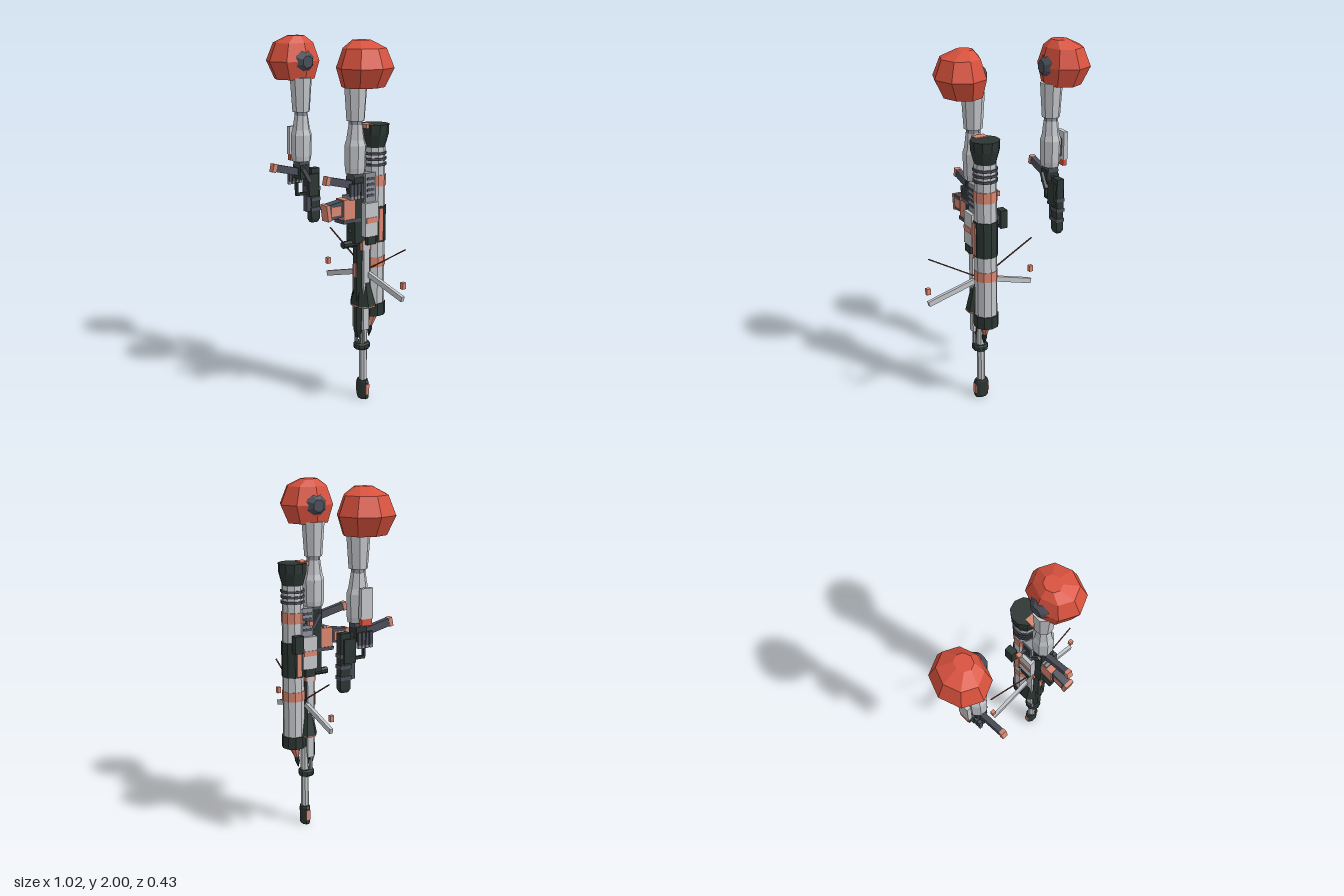
import * as THREE from 'three';

const mat = (name, color) => {
  const m = new THREE.MeshStandardMaterial({ color });
  m.name = name;
  return m;
};

export function createModel() {
  const red = mat('red armour', 0xd9523e), salmon = mat('salmon trim', 0xd98670);
  const grey = mat('light grey', 0xc3c6ca), mid = mat('mid grey', 0x8d9198);
  const slate = mat('slate joints', 0x4b4e58), dark = mat('dark gunmetal', 0x2b3633);
  const brown = mat('bow string brown', 0x6e3a30);
  const root = new THREE.Group();
  root.name = 'armedArms';

  const group = (name, parent = root) => {
    const g = new THREE.Group();
    g.name = name;
    parent.add(g);
    return g;
  };
  // every facet keeps its own normal
  const add = (parent, name, geo, material) => {
    const g = geo.index ? geo.toNonIndexed() : geo;
    g.computeVertexNormals();
    const m = new THREE.Mesh(g, material);
    m.name = name;
    parent.add(m);
    return m;
  };
  // box from its limits in x, y and z
  const box = (p, name, m, x0, x1, y0, y1, z0, z1) => add(p, name,
    new THREE.BoxGeometry(Math.abs(x1 - x0), y1 - y0, z1 - z0).translate((x0 + x1) / 2, (y0 + y1) / 2, (z0 + z1) / 2), m);
  // capped loft through rings [y, centreX, centreZ, radiusX, radiusZ], lowest first
  const loft = (p, name, m, rings, n = 8, phase = Math.PI / n) => {
    const v = [];
    const pt = (r, j) => {
      const a = phase + j / n * Math.PI * 2;
      return [r[1] + Math.cos(a) * r[3], r[0], r[2] + Math.sin(a) * r[4]];
    };
    const top = rings[rings.length - 1], low = rings[0];
    for (let j = 0; j < n; j++) {
      for (let i = 0; i + 1 < rings.length; i++) {
        const a = pt(rings[i], j), b = pt(rings[i], j + 1), c = pt(rings[i + 1], j), d = pt(rings[i + 1], j + 1);
        v.push(...a, ...c, ...b, ...b, ...c, ...d);
      }
      v.push(top[1], top[0], top[2], ...pt(top, j + 1), ...pt(top, j));
      v.push(low[1], low[0], low[2], ...pt(low, j), ...pt(low, j + 1));
    }
    const g = new THREE.BufferGeometry();
    g.setAttribute('position', new THREE.Float32BufferAttribute(v, 3));
    return add(p, name, g, m);
  };
  // straight bar of rectangular section between two points
  const bar = (p, name, m, a, b, w, d) => {
    const A = new THREE.Vector3(...a), B = new THREE.Vector3(...b);
    const o = add(p, name, new THREE.BoxGeometry(w, A.distanceTo(B), d), m);
    o.position.copy(A).lerp(B, 0.5);
    o.quaternion.setFromUnitVectors(new THREE.Vector3(0, 1, 0), B.sub(A).normalize());
    return o;
  };

  // both arms; s points outwards
  const arm = (name, x, s) => {
    const g = group(name);
    g.position.x = x;
    loft(g, 'shoulder', red, [[1.76, s * 0.06, 0, 0.105, 0.12], [1.86, s * 0.075, 0, 0.14, 0.16],
      [1.96, s * 0.07, 0, 0.105, 0.12], [2, s * 0.045, 0, 0.045, 0.05]], 8, 0);
    const knob = loft(g, 'shoulderKnob', slate, [[-0.05, 0, 0, 0.075, 0.075], [0, 0, 0, 0.065, 0.065], [0.03, 0, 0, 0.035, 0.035]]);
    knob.rotation.z = s * Math.PI / 2;
    knob.position.set(-s * 0.037, 1.86, 0);
    loft(g, 'upperArm', grey, [[1.58, 0, 0, 0.05, 0.05], [1.77, 0, 0, 0.062, 0.064]]);
    loft(g, 'elbow', mid, [[1.53, 0, 0, 0.038, 0.038], [1.585, 0, 0, 0.038, 0.038]]);
    loft(g, 'forearm', grey, [[1.3, 0, 0, 0.05, 0.055], [1.33, 0, 0, 0.054, 0.06], [1.45, 0, 0, 0.058, 0.062],
      [1.48, 0, 0, 0.048, 0.052], [1.56, 0, 0, 0.04, 0.038]]);
    // hand wrapped around the grip
    box(g, 'wrist', slate, -0.03, 0.03, 1.27, 1.31, -0.035, 0.035);
    box(g, 'palm', dark, -0.036, 0.036, 1.2, 1.28, -0.03, 0.035);
    for (let i = 0; i < 4; i++) {
      const z = -0.015 + i * 0.024;
      box(g, 'finger', slate, s * 0.026, s * 0.046, 1.18, 1.25, z - 0.009, z + 0.009);
      box(g, 'fingertip', mid, -0.03, s * 0.046, 1.165, 1.185, z - 0.009, z + 0.009);
    }
    bar(g, 'thumb', slate, [-s * 0.038, 1.26, 0.02], [-s * 0.04, 1.18, -0.03], 0.022, 0.022);
    // grip pointing forwards
    bar(g, 'grip', slate, [0, 1.225, -0.03], [0, 1.28, 0.19], 0.03, 0.042);
    bar(g, 'gripCap', salmon, [0, 1.277, 0.185], [0, 1.282, 0.207], 0.034, 0.048);
    return g;
  };
  const pistolArm = arm('rightArm', -0.295, -1);
  const rifleArm = arm('leftArm', 0.18, 1);

  // pistol arm attachments
  box(pistolArm, 'forearmPanel', grey, -0.09, -0.065, 1.33, 1.49, -0.035, 0.035);
  box(pistolArm, 'panelEnd', red, -0.09, -0.065, 1.295, 1.33, -0.03, 0.03);
  box(pistolArm, 'panelMount', slate, -0.07, -0.045, 1.35, 1.45, -0.015, 0.015);
  const pistol = group('pistol', pistolArm);
  box(pistol, 'receiver', dark, -0.032, 0.032, 1.09, 1.22, -0.1, -0.03);
  loft(pistol, 'slide', dark, [[0.93, 0, -0.085, 0.02, 0.028], [0.95, 0, -0.085, 0.03, 0.042], [1.25, 0, -0.085, 0.03, 0.042]], 4);
  box(pistol, 'frame', slate, -0.017, 0.017, 1.0, 1.15, -0.06, -0.025);
  box(pistol, 'triggerGuard', dark, -0.01, 0.01, 1.1, 1.115, -0.03, 0.04);
  box(pistol, 'guardFront', dark, -0.01, 0.01, 1.11, 1.18, 0.03, 0.042);
  for (const y of [1.0, 1.06, 1.12]) box(pistol, 'slideRib', slate, -0.026, 0.026, y, y + 0.02, -0.118, -0.05);

  // launcher tube, stacked sections [name, material, y0, y1, r0, r1]
  const tube = group('launcher');
  tube.position.set(0.18, 0, -0.132);
  for (const [n, m, y0, y1, r0, r1] of [
    ['muzzleCollar', dark, 0.49, 0.56, 0.07, 0.07], ['lowerTube', grey, 0.56, 0.77, 0.062, 0.062],
    ['lowerBand', salmon, 0.77, 0.825, 0.065, 0.065], ['middleTube', grey, 0.825, 0.91, 0.062, 0.062],
    ['sleeve', dark, 0.91, 1.11, 0.067, 0.067], ['upperTube', grey, 1.11, 1.22, 0.062, 0.062],
    ['upperBand', salmon, 1.22, 1.28, 0.065, 0.065], ['rearTube', grey, 1.28, 1.43, 0.06, 0.06],
    ['exhaustFlare', dark, 1.42, 1.5, 0.056, 0.078], ['exhaustRim', dark, 1.5, 1.553, 0.078, 0.08],
  ]) loft(tube, n, m, [[y0, 0, 0, r0, r0], [y1, 0, 0, r1, r1]], 10);
  for (const y of [1.33, 1.36, 1.39]) loft(tube, 'coolingRing', slate, [[y, 0, 0, 0.068, 0.068], [y + 0.014, 0, 0, 0.068, 0.068]], 10);
  loft(tube, 'rocketNose', salmon, [[0.42, 0, 0.018, 0.013, 0.013], [0.5, 0, 0, 0.038, 0.038]], 8);
  loft(tube, 'rocketTip', dark, [[0.36, 0, 0.027, 0.003, 0.003], [0.395, 0, 0.022, 0.014, 0.014], [0.425, 0, 0.018, 0.014, 0.014]], 8);
  box(tube, 'sight', dark, -0.11, -0.07, 1.06, 1.16, -0.043, 0.012);
  box(tube, 'sightMount', slate, -0.08, -0.04, 1.08, 1.13, -0.025, 0);
  for (const s of [-1, 1]) box(tube, 'sleeveStripe', salmon, s * 0.062, s * 0.07, 0.92, 1.1, -0.01, 0.02);
  box(tube, 'flareClip', salmon, -0.035, 0.035, 1.535, 1.558, 0.035, 0.085);

  // rifle
  const rifle = group('rifle');
  rifle.position.x = 0.18;
  loft(rifle, 'muzzleBrake', dark, [[0, 0, -0.063, 0.036, 0.024], [0.012, 0, -0.063, 0.043, 0.028],
    [0.1, 0, -0.063, 0.043, 0.028], [0.113, 0, -0.063, 0.036, 0.024]], 8);
  for (const s of [-1, 1]) box(rifle, 'brakeVent', salmon, s * 0.036, s * 0.043, 0.03, 0.09, -0.075, -0.051);
  loft(rifle, 'barrel', grey, [[0.11, 0, -0.063, 0.023, 0.023], [0.48, 0, -0.063, 0.023, 0.023]], 8);
  loft(rifle, 'barrelRing', dark, [[0.3, 0, -0.053, 0.04, 0.042], [0.308, 0, -0.053, 0.046, 0.047],
    [0.33, 0, -0.053, 0.046, 0.047], [0.338, 0, -0.053, 0.04, 0.042]], 10);
  for (const s of [-1, 1]) {
    loft(rifle, 'sideRod', mid, [[0.335, s * 0.024, -0.035, 0.011, 0.011], [0.75, s * 0.028, -0.035, 0.011, 0.011]], 6);
    box(rifle, 'sideRail', grey, s * 0.03, s * 0.047, 0.42, 0.93, -0.065, -0.025);
  }
  loft(rifle, 'foreStock', dark, [[0.37, 0, -0.035, 0.022, 0.02], [0.42, 0, -0.035, 0.035, 0.035],
    [0.93, 0, -0.035, 0.036, 0.035]], 8);
  loft(rifle, 'flare', dark, [[0.56, 0, -0.06, 0.085, 0.066], [0.66, 0, -0.055, 0.058, 0.042], [0.74, 0, -0.05, 0.04, 0.025]], 8);
  loft(rifle, 'flareTrim', salmon, [[0.553, 0, -0.06, 0.084, 0.065], [0.561, 0, -0.06, 0.084, 0.065]], 8);
  box(rifle, 'lowerStrip', salmon, -0.01, 0.01, 0.72, 0.8, -0.05, 0.004);
  box(rifle, 'collar', salmon, -0.045, 0.045, 0.875, 0.93, -0.075, -0.015);
  box(rifle, 'receiver', grey, -0.07, 0.07, 0.955, 1.14, -0.105, -0.015);
  box(rifle, 'receiverBand', salmon, -0.074, 0.074, 1.03, 1.06, -0.1, -0.02);
  box(rifle, 'receiverCore', dark, -0.036, 0.036, 0.92, 1.22, -0.08, 0.03);
  box(rifle, 'rearBlock', mid, -0.05, 0.05, 1.14, 1.3, -0.1, -0.03);
  for (const s of [-1, 1]) {
    box(rifle, 'lowerLug', dark, s * 0.05, s * 0.072, 0.91, 0.955, -0.09, -0.03);
    for (let i = 0; i < 4; i++) box(rifle, 'vent', slate, s * 0.048, s * 0.053, 1.17 + i * 0.03, 1.185 + i * 0.03, -0.09, -0.04);
  }
  // magazine and its angled extension
  box(rifle, 'magazineHousing', salmon, -0.034, 0.034, 1.05, 1.17, 0.02, 0.105);
  box(rifle, 'housingEdge', slate, -0.038, 0.038, 1.04, 1.06, -0.01, 0.11);
  bar(rifle, 'magazine', slate, [0, 1.125, 0.08], [0, 1.11, 0.195], 0.05, 0.085);
  bar(rifle, 'magazineCap', salmon, [0, 1.111, 0.19], [0, 1.108, 0.21], 0.054, 0.09);
  for (const s of [-1, 1]) box(rifle, 'magazinePlate', salmon, s * 0.024, s * 0.028, 1.09, 1.14, 0.12, 0.18);
  const post = loft(rifle, 'forwardPost', dark, [[0, 0, 0, 0.02, 0.02], [0.1, 0, 0, 0.02, 0.02]], 8);
  post.rotation.x = Math.PI / 2;
  post.position.set(0, 0.915, -0.015);
  box(rifle, 'trigger', slate, -0.008, 0.008, 0.98, 1.0, -0.02, 0.04);
  // bolt handle
  bar(rifle, 'boltHandle', slate, [-0.03, 1.22, -0.075], [-0.09, 1.225, -0.075], 0.014, 0.014);
  box(rifle, 'boltKnob', salmon, -0.112, -0.086, 1.212, 1.238, -0.088, -0.062);

  // bow limbs, tips and strings
  const bow = group('bow', rifle);
  for (const s of [-1, 1]) {
    bar(bow, 'bowLimb', grey, [s * 0.03, 0.738, -0.066], [s * 0.315, 0.66, -0.066], 0.029, 0.02);
    box(bow, 'bowTip', salmon, s * 0.304, s * 0.327, 0.718, 0.753, -0.077, -0.055);
    bar(bow, 'bowString', brown, [s * 0.03, 0.765, -0.08], [s * 0.314, 0.928, -0.08], 0.006, 0.006);
  }
  return root;
}
